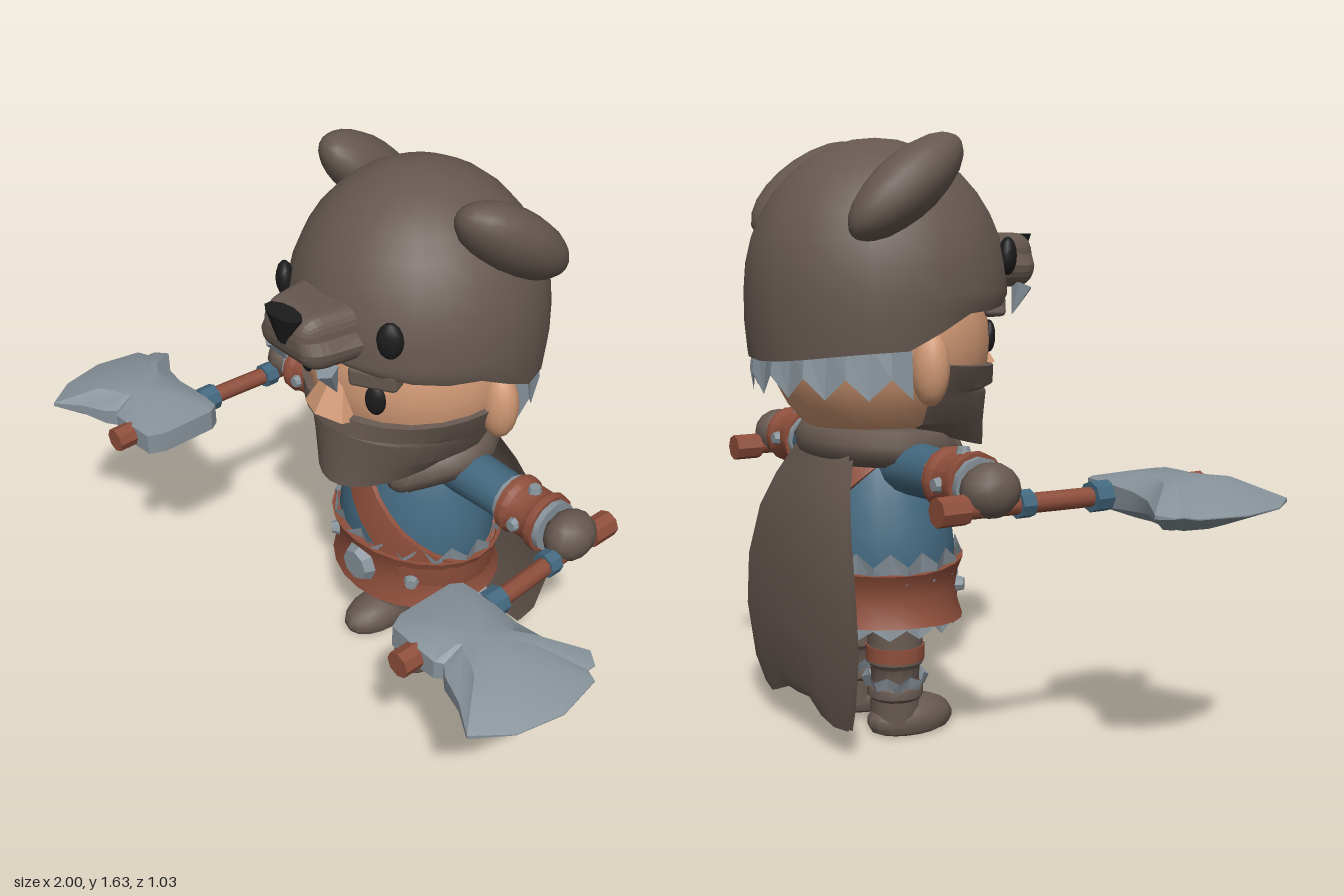
import * as THREE from 'three';
import { toCreasedNormals, mergeGeometries } from 'three/addons/utils/BufferGeometryUtils.js';
import { RoundedBoxGeometry } from 'three/addons/geometries/RoundedBoxGeometry.js';

const { sin, cos, PI, max, min } = Math;
const mat = (name, color, side = THREE.DoubleSide) => {
  const m = new THREE.MeshStandardMaterial({ color, side });
  m.name = name;
  return m;
};

// Geometry helpers
const crease = (g, angle = 0.6) => toCreasedNormals(g, angle);
const ball = (rx, ry, rz, x, y, z, seg = 16) =>
  new THREE.SphereGeometry(1, seg, Math.ceil(seg * 0.65)).scale(rx, ry, rz).translate(x, y, z);
const cyl = (rt, rb, h, seg = 10) => crease(new THREE.CylinderGeometry(rt, rb, h, seg));
const rodZ = (r, z0, z1, x, y, seg = 8) => cyl(r, r, z1 - z0, seg).rotateX(PI / 2).translate(x, y, (z0 + z1) / 2);
const lathe = (pts, seg = 20) => crease(new THREE.LatheGeometry(pts.map(p => new THREE.Vector2(...p)), seg), 0.7);
const smooth = (x, a, b) => THREE.MathUtils.smoothstep(x, a, b);

// Skin between loops of equal length, listed from the bottom up
function loft(loops, closed, angle = 0.7) {
  const n = loops[0].length, index = [];
  for (let l = 0; l < loops.length - 1; l++) {
    for (let i = 0; i < (closed ? n : n - 1); i++) {
      const j = (i + 1) % n, a = l * n + i, b = l * n + j, c = b + n, d = a + n;
      index.push(a, b, d, b, c, d);
    }
  }
  const g = new THREE.BufferGeometry();
  g.setAttribute('position', new THREE.Float32BufferAttribute(loops.flat(2), 3));
  g.setIndex(index);
  g.computeVertexNormals();
  return crease(g, angle);
}
// Loop of points round the y axis; angle 0 faces the front
const arc = (n, a0, a1, f) => Array.from({ length: n }, (_, i) => f(a0 + (a1 - a0) * i / n, i));
const ring = (n, f) => arc(n, 0, 2 * PI, f);

// Zigzag fur band from a straight edge to a toothed edge
function trim(n, yEdge, yTip, depth, rx, rz, cx, cz, a0 = 0, a1 = 2 * PI) {
  const row = (y, grow, teeth) => arc(n, a0, a1, (a, i) => {
    const r = grow + (i % 2 ? 0.012 : 0), t = teeth && i % 2 ? depth : 0;
    return [cx + (rx + r) * sin(a), y - t * Math.sign(yTip - yEdge), cz + (rz + r) * cos(a)];
  });
  const rows = [row(yEdge, 0, false), row(yTip, 0.012, true)];
  if (yTip < yEdge) rows.reverse();
  return loft(rows, a1 - a0 > 6.2, 0.05);
}
function mirror(geo) {
  const g = geo.clone().scale(-1, 1, 1);
  const idx = g.index ? Array.from(g.index.array) : Array.from({ length: g.attributes.position.count }, (_, i) => i);
  for (let i = 0; i < idx.length; i += 3) [idx[i], idx[i + 1]] = [idx[i + 1], idx[i]];
  g.setIndex(idx);
  return g;
}

export function createModel() {
  const root = new THREE.Group();
  const fur = mat('brown fur', 0x665850), rust = mat('rust leather', 0x8e4e3b), steel = mat('grey steel', 0x87929a);
  const blue = mat('blue cloth', 0x43687f, THREE.FrontSide), skin = mat('skin', 0xd09874, THREE.FrontSide);
  const black = mat('black', 0x1c1c1d, THREE.FrontSide);
  const add = (name, geo, m) => {
    const mesh = new THREE.Mesh(geo, m);
    mesh.name = name;
    root.add(mesh);
  };
  const pair = (name, geo, m) => {
    add(name + 'Left', geo, m);
    add(name + 'Right', mirror(geo), m);
  };

  // Head and face
  add('head', ball(0.31, 0.3, 0.305, 0, 1.08, -0.15, 24), skin);
  pair('ear', ball(0.055, 0.1, 0.05, 0.31, 1.03, -0.17), skin);
  pair('eye', ball(0.03, 0.045, 0.018, 0, 0, 0, 12).rotateY(0.45).translate(0.14, 1.09, 0.122), black);
  pair('eyebrow', new RoundedBoxGeometry(0.14, 0.055, 0.06, 1, 0.012).rotateZ(0.08).rotateY(0.4).translate(0.145, 1.17, 0.125), fur);
  add('nose', crease(new THREE.CylinderGeometry(0.05, 0.105, 0.1, 6), 0.3).scale(0.85, 1, 0.6).rotateX(-0.25).translate(0, 1.05, 0.142), skin);

  // Beard: height, x radius, z radius and front-only changes per row
  const beardRows = [
    [0.87, 0.1, 0.12, 0, 0], [0.86, 0.21, 0.24, -0.09, 0.075], [0.875, 0.25, 0.26, -0.02, 0.045],
    [0.94, 0.285, 0.28, 0, 0.018], [0.953, 0.29, 0.28, 0, 0.005], [0.962, 0.295, 0.285, 0, 0.038],
    [1.035, 0.32, 0.3, -0.025, 0.012], [1.04, 0.28, 0.27, -0.02, 0]
  ];
  add('beard', loft(beardRows.map(([y, rx, rz, dy, dz]) => arc(19, -1.62, 1.8, a => {
    const f = max(0, cos(a));
    return [rx * sin(a), y + dy * f, -0.145 + (rz + dz * f) * cos(a)];
  })), false, 0.4), fur);

  // Bear hood with a rim that drops toward the back
  const rim = a => {
    const d = a > PI ? 2 * PI - a : a;
    return 1.205 - 0.035 * smooth(d, 0, 1.2) - 0.095 * smooth(d, 1.25, 1.9) - 0.035 * smooth(d, 1.9, PI);
  };
  const hoodRow = (r, f) => ring(24, a => [r * sin(a), f(a), -0.157 + r * cos(a)]);
  const hood = [hoodRow(0.3, rim), hoodRow(0.352, rim), hoodRow(0.36, a => (rim(a) + 1.22) / 2)];
  for (let i = 0; i <= 9; i++) hood.push(hoodRow(0.36 * cos(i / 9 * PI / 2), () => 1.22 + 0.405 * sin(i / 9 * PI / 2)));
  add('hood', loft(hood, true), fur);
  const long = new THREE.Vector3(0.08, -0.6, -0.8).normalize();
  const wide = new THREE.Vector3(0.93, 0.3, -0.1).cross(long).normalize();
  const basis = new THREE.Matrix4().makeBasis(new THREE.Vector3().crossVectors(long, wide), long, wide);
  pair('hoodEar', ball(0.11, 0.2, 0.085, 0, 0, 0).applyMatrix4(basis).translate(0.275, 1.49, -0.22), fur);
  pair('hoodEye', ball(0.036, 0.052, 0.025, 0, 0, 0, 12).rotateY(0.62).translate(0.21, 1.31, 0.135), black);
  const snout = new RoundedBoxGeometry(0.32, 0.15, 0.26, 3, 0.06);
  const p = snout.attributes.position;
  for (let i = 0; i < p.count; i++) {
    const t = (p.getZ(i) + 0.13) / 0.26;
    p.setX(i, p.getX(i) * (1.05 - 0.35 * t) * (p.getY(i) > 0 ? 0.85 : 1));
  }
  snout.computeVertexNormals();
  add('snout', snout.translate(0, 1.295, 0.185), fur);
  add('snoutNose', cyl(0.066, 0.025, 0.085, 10).scale(1, 1, 0.5).translate(0, 1.325, 0.305), black);
  pair('fang', cyl(0.032, 0.002, 0.085, 5).rotateX(0.4).translate(0.105, 1.185, 0.24), steel);
  add('hoodTrim', trim(17, 1.09, 0.95, 0.055, 0.315, 0.325, 0, -0.157, 1.75, 4.68), steel);

  // Torso
  const torso = [[0.235, 0.36], [0.245, 0.42], [0.25, 0.5], [0.24, 0.58], [0.215, 0.67], [0.185, 0.75], [0.13, 0.83], [0.06, 0.87]];
  const torsoR = y => {
    let i = 0;
    while (i < torso.length - 2 && torso[i + 1][1] < y) i++;
    const [r0, y0] = torso[i], [r1, y1] = torso[i + 1];
    return r0 + (r1 - r0) * min(1, max(0, (y - y0) / (y1 - y0)));
  };
  const CZ = -0.165, DEPTH = 0.86;
  add('tunic', lathe(torso, 24).scale(1, 1, DEPTH).translate(0, 0, CZ), blue);
  add('trousers', lathe([[0.001, 0.265], [0.12, 0.275], [0.19, 0.315], [0.236, 0.38]], 24).scale(1, 1, DEPTH).translate(0, 0, CZ), fur);

  // Diagonal strap round the torso
  const strapRow = (dy, out) => ring(32, a => {
    const y = min(0.82, 0.63 - 0.23 * sin(a) + dy), r = torsoR(y) + out;
    return [r * sin(a), y, CZ + r * DEPTH * cos(a)];
  });
  add('strap', loft([strapRow(-0.075, 0), strapRow(-0.07, 0.014), strapRow(0, 0.016), strapRow(0.07, 0.014), strapRow(0.075, 0)], true), rust);

  // Belt, wider at the front, with fur edges and studs
  const belt = [[0.24, 0.335], [0.272, 0.335], [0.258, 0.365], [0.252, 0.41], [0.258, 0.445], [0.274, 0.475], [0.24, 0.475]];
  add('belt', loft(belt.map(([r, y]) => ring(24, a => [r * sin(a), 0.405 + (y - 0.405) * (1.03 + 0.26 * max(0, cos(a))), CZ + r * 0.87 * cos(a)])), true, 0.5), rust);
  add('beltTrimUpper', trim(32, 0.45, 0.535, 0.035, 0.248, 0.208, 0, CZ), steel);
  add('beltTrimLower', trim(32, 0.375, 0.295, 0.03, 0.235, 0.2, 0, CZ), steel);
  add('buckle', crease(new THREE.CylinderGeometry(0.048, 0.062, 0.03, 8), 0.1).rotateX(PI / 2).translate(0, 0.41, 0.068), steel);
  pair('beltStud', cyl(0.017, 0.024, 0.025, 8).rotateX(PI / 2).rotateY(0.7).translate(0.17, 0.41, 0.01), steel);

  // Fur collar
  const half = [[0.11, 0.765, -0.01], [0.18, 0.8, -0.09], [0.2, 0.81, -0.2], [0.12, 0.812, -0.29]];
  const collarPts = [...half, [0, 0.812, -0.315], ...half.slice().reverse().map(([x, y, z]) => [-x, y, z])];
  add('collar', new THREE.TubeGeometry(new THREE.CatmullRomCurve3(collarPts.map(q => new THREE.Vector3(...q))), 24, 0.055, 8), fur);
  pair('collarEnd', ball(0.05, 0.06, 0.055, 0.112, 0.772, -0.005, 10), fur);

  // Cape with a ragged hem: height, half width and depth per row
  const capeRows = [[0.08, 0.255, -0.4], [0.15, 0.295, -0.412], [0.3, 0.33, -0.42], [0.45, 0.315, -0.42], [0.6, 0.265, -0.405], [0.7, 0.21, -0.378], [0.8, 0.15, -0.335]];
  const hem = [0, -0.005, 0.01, 0.045, 0.04, 0.04, 0.015, -0.01, 0];
  const capeSide = (rows, off) => rows.map(([y, w, z], l) => hem.map((h, i) => {
    const u = (i - 4) / 4;
    return [w * u, y + (y < 0.1 ? h : 0), z + off + 0.02 * u * u];
  }));
  add('cape', mergeGeometries([loft(capeSide(capeRows, 0.006), false), loft(capeSide(capeRows, -0.006).map(r => r.reverse()), false)]), fur);

  // Arms, cuffs and fists
  const AY = 0.755, AZ = -0.165;
  const onArm = g => g.rotateZ(-PI / 2).translate(0, AY, AZ);
  pair('sleeve', onArm(cyl(0.066, 0.075, 0.28, 14).translate(0, 0.27, 0)), blue);
  pair('cuff', onArm(lathe([[0.06, 0.395], [0.084, 0.395], [0.086, 0.415], [0.076, 0.43], [0.076, 0.49], [0.086, 0.505], [0.084, 0.525], [0.05, 0.525]], 14)), rust);
  pair('cuffTrim', onArm(cyl(0.074, 0.074, 0.165, 12).translate(0, 0.46, 0)), steel);
  const studs = [0, 1, 2, 3].map(i => cyl(0.016, 0.021, 0.02, 8).rotateX(PI / 2).translate(0, 0, 0.08).rotateX(i * PI / 2).translate(0.462, AY, AZ));
  pair('cuffStuds', mergeGeometries(studs), steel);
  pair('fist', ball(0.066, 0.07, 0.08, 0.592, 0.755, -0.17, 12), fur);

  // Axes
  const HY = 0.715;
  const haft = new THREE.CatmullRomCurve3([[0.592, -0.31], [0.598, -0.17], [0.606, -0.05], [0.615, 0.1], [0.62, 0.46]].map(([x, z]) => new THREE.Vector3(x, HY, z)));
  pair('axeHaft', new THREE.TubeGeometry(haft, 16, 0.026, 8), rust);
  pair('axePommel', rodZ(0.038, -0.325, -0.245, 0.594, HY), rust);
  pair('axeTip', rodZ(0.036, 0.39, 0.475, 0.62, HY), rust);
  pair('axeWrapFront', rodZ(0.04, 0.115, 0.17, 0.616, HY), blue);
  pair('axeWrapBack', rodZ(0.036, -0.1, -0.06, 0.602, HY), blue);
  const blade = [[0.515, 0.2], [0.515, 0.37], [0.535, 0.415], [0.61, 0.42], [0.69, 0.42], [0.71, 0.405], [0.74, 0.43], [0.82, 0.46], [0.9, 0.512],
    [0.97, 0.42], [1, 0.29], [0.975, 0.155], [0.94, 0.14], [0.94, 0.115], [0.9, 0.088], [0.8, 0.15], [0.72, 0.168], [0.61, 0.165], [0.535, 0.17]];
  const bladeLoop = (k, h, edge) => blade.map(([x, z]) => [0.72 + (x - 0.72) * k, HY + (edge ? h * min(1, max(0.05, (0.95 - x) / 0.3)) : h), 0.292 + (z - 0.292) * k]);
  const bladeLoops = [bladeLoop(0, -0.06), bladeLoop(0.5, -0.057), bladeLoop(1, -0.032, true), bladeLoop(1, 0.032, true), bladeLoop(0.5, 0.057), bladeLoop(0, 0.06)];
  pair('axeHead', loft(bladeLoops, true, 0.45), steel);

  // Legs and boots
  const LX = 0.115, LZ = -0.165;
  pair('leg', lathe([[0.07, 0.03], [0.068, 0.1], [0.078, 0.11], [0.078, 0.135], [0.066, 0.15], [0.068, 0.19], [0.08, 0.205], [0.074, 0.3]], 14).translate(LX, 0, LZ), fur);
  const boot = ball(0.077, 0.065, 0.13, LX, 0.035, -0.118);
  const b = boot.attributes.position;
  for (let i = 0; i < b.count; i++) b.setY(i, max(0, b.getY(i)));
  pair('boot', crease(boot), fur);
  pair('legTrim', trim(16, 0.135, 0.175, 0.015, 0.07, 0.07, LX, LZ), steel);
  add('legBand', cyl(0.082, 0.082, 0.04, 14).translate(-LX, 0.232, LZ), rust);
  return root;
}
